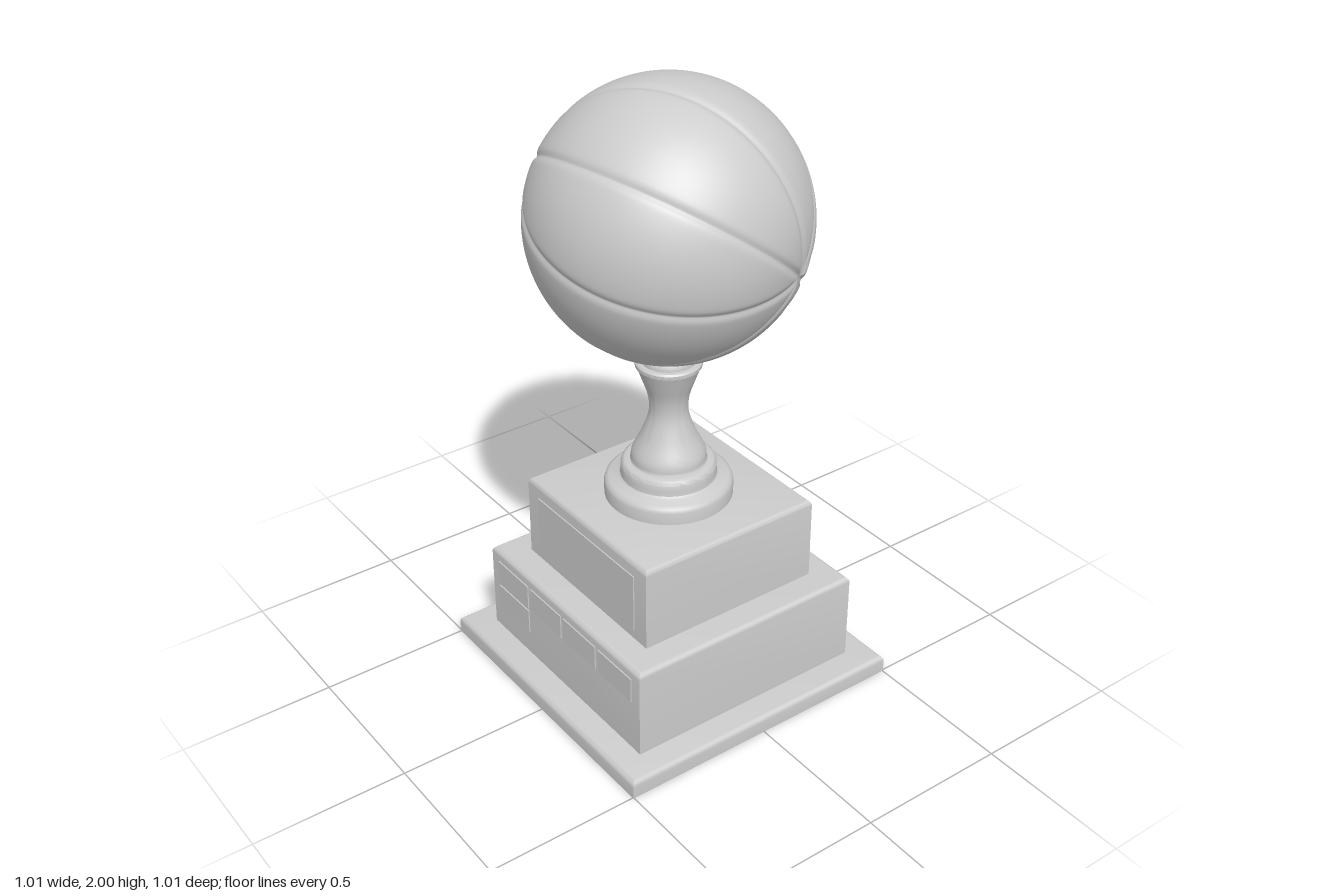
import * as THREE from 'three';
import { mergeVertices, toCreasedNormals } from 'three/addons/utils/BufferGeometryUtils.js';

const mat = new THREE.MeshStandardMaterial({ color: 0xcccccc, roughness: 0.6 });

function part(name, geometry, parent) {
  const mesh = new THREE.Mesh(geometry, mat);
  mesh.name = name;
  parent.add(mesh);
  return mesh;
}

// Square block with flat bottom and rounded top edge: a four-sided lathe
function squareTier(half, y0, y1, r) {
  const pts = [[0, y0], [half, y0]];
  for (let i = 0; i <= 5; i++) {
    const a = (i / 5) * Math.PI / 2;
    pts.push([half - r + r * Math.cos(a), y1 - r + r * Math.sin(a)]);
  }
  pts.push([0, y1]);
  const g = new THREE.LatheGeometry(pts.map(([x, y]) => new THREE.Vector2(x * Math.SQRT2, y)), 4);
  g.rotateY(Math.PI / 4);
  return toCreasedNormals(g, 0.6);
}

// Ball whose eight seams run pole to pole as shallow, constant-width grooves
function ballGeometry(R) {
  const panels = 8, per = 24, rows = 110, depth = 0.007, width = 0.012;
  const g = new THREE.SphereGeometry(R, panels * per, rows);
  const pos = g.attributes.position;
  const sector = (Math.PI * 2) / panels;
  for (let i = 0, row = 0; row <= rows; row++) {
    const theta = (row / rows) * Math.PI;
    const s = Math.sin(theta);
    for (let col = 0; col <= panels * per; col++, i++) {
      const k = Math.floor(col / per);
      const t = ((col - k * per) / per) * 2 - 1;
      const off = Math.sign(t) * Math.abs(t) ** 1.6 * sector / 2; // vertices gather at the seam
      const phi = (k + 0.5) * sector + off;
      const d = R * s * Math.abs(off);
      const r = R - depth * Math.exp(-((d / width) ** 2));
      pos.setXYZ(i, -r * s * Math.cos(phi), r * Math.cos(theta), r * s * Math.sin(phi));
    }
  }
  g.deleteAttribute('uv');
  g.deleteAttribute('normal');
  const m = mergeVertices(g, 1e-5);
  m.computeVertexNormals();
  return m;
}

export function createModel() {
  const model = new THREE.Group();
  model.name = 'ballTrophy';

  // Stepped square base
  const base = new THREE.Group();
  base.name = 'base';
  model.add(base);
  part('plinth', squareTier(0.503, 0, 0.06, 0.02), base);
  part('lowerTier', squareTier(0.413, 0.05, 0.363, 0.018), base);
  part('upperTier', squareTier(0.32, 0.35, 0.645, 0.018), base);

  // Name plates on the front faces
  const plates = new THREE.Group();
  plates.name = 'plates';
  base.add(plates);
  const plate = (name, x, y, w, h, z) =>
    part(name, new THREE.BoxGeometry(w, h, 0.01), plates).position.set(x, y, z);
  plate('titlePlate', 0, 0.495, 0.52, 0.2, 0.319);
  for (let i = 0; i < 4; i++) plate('smallPlate', -0.285 + i * 0.19, 0.283, 0.175, 0.085, 0.412);
  plate('smallPlate', -0.285, 0.187, 0.175, 0.085, 0.412);

  // Turned stem: stepped foot, waisted column, collar and neck
  const column = new THREE.SplineCurve([
    [0.119, 0.77], [0.114, 0.8], [0.085, 0.86], [0.062, 0.93],
    [0.064, 0.99], [0.083, 1.05], [0.099, 1.095],
  ].map(([x, y]) => new THREE.Vector2(x, y))).getPoints(30);
  const v = list => list.map(([x, y]) => new THREE.Vector2(x, y));
  const profile = [
    ...v([[0, 0.64], [0.203, 0.64], [0.203, 0.685], [0.199, 0.697], [0.188, 0.705], [0.16, 0.708],
      [0.152, 0.715], [0.15, 0.73], [0.15, 0.75], [0.146, 0.76], [0.138, 0.765], [0.121, 0.766]]),
    ...column,
    ...v([[0.103, 1.097], [0.103, 1.108], [0.098, 1.113], [0.086, 1.114], [0.086, 1.125],
      [0.08, 1.134], [0.07, 1.137], [0.036, 1.139], [0.036, 1.17], [0, 1.17]]),
  ];
  part('stem', toCreasedNormals(new THREE.LatheGeometry(profile, 56), 0.7), model);

  // Ball, tilted so the seams meet low on the left-rear side
  const ball = part('ball', ballGeometry(0.425), model);
  ball.position.y = 1.575;
  const pole = new THREE.Vector3(0.365, -0.1, -0.198).normalize();
  const up = new THREE.Vector3(0, 1, 0).addScaledVector(pole, -pole.y).normalize();
  const side = new THREE.Vector3().crossVectors(pole, up);
  const a = THREE.MathUtils.degToRad(9 + 22.5); // seams sit halfway between sector edges
  const z = up.clone().multiplyScalar(Math.cos(a)).addScaledVector(side, Math.sin(a));
  const x = new THREE.Vector3().crossVectors(pole, z);
  ball.quaternion.setFromRotationMatrix(new THREE.Matrix4().makeBasis(x, pole, z));
  return model;
}
